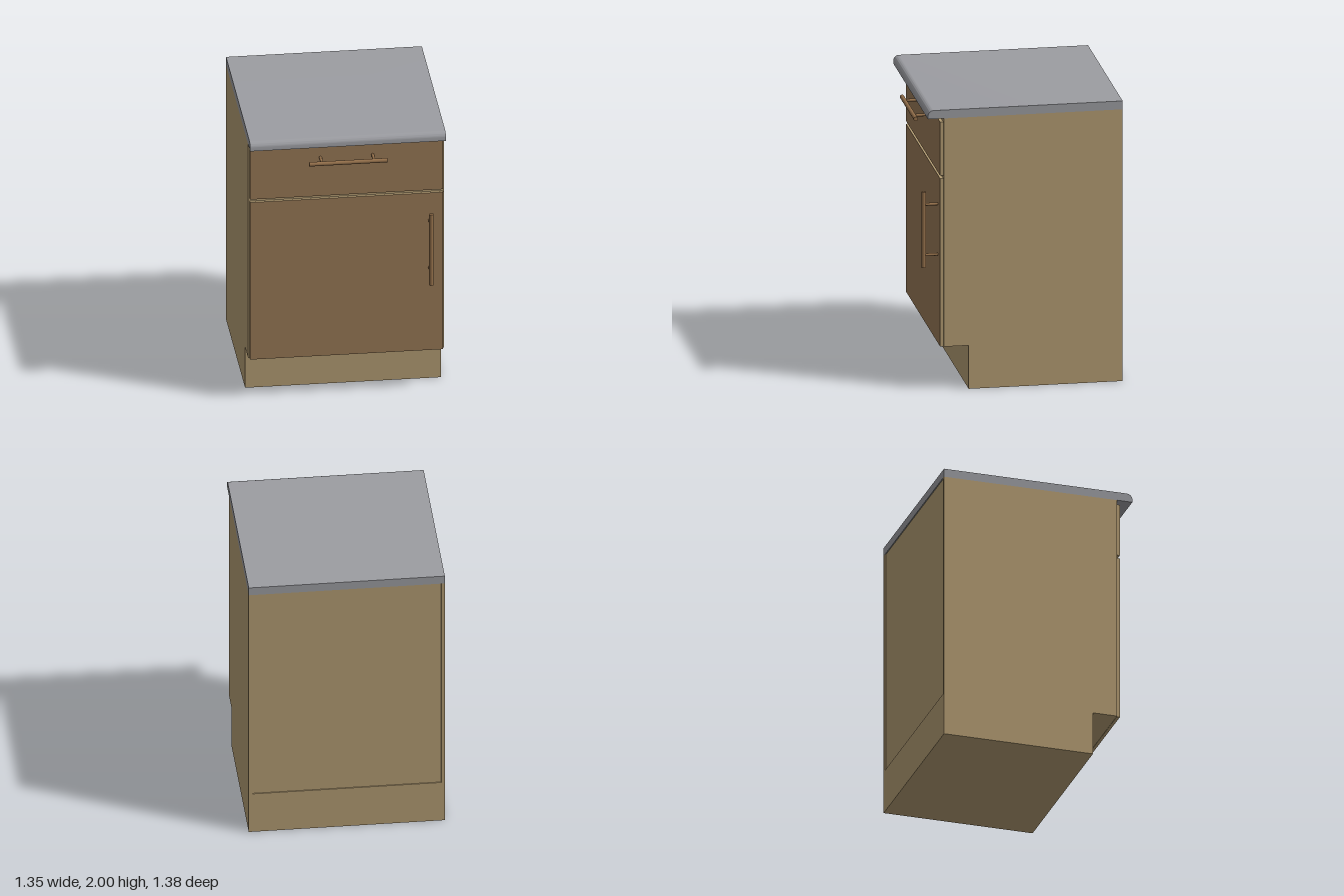
import * as THREE from 'three';
import { toCreasedNormals } from 'three/addons/utils/BufferGeometryUtils.js';

const material = (name, color) => {
  const m = new THREE.MeshStandardMaterial({ color });
  m.name = name;
  return m;
};

export function createModel() {
  const tan = material('tan board', 0xb39c73);
  const brown = material('brown front', 0x987956);
  const grey = material('grey worktop', 0x9c9da2);
  const bronze = material('bronze handle', 0x94704b);

  const model = new THREE.Group();
  model.name = 'baseCabinet';

  // Box given by its low and high corners
  const box = (name, mat, [x0, y0, z0], [x1, y1, z1], parent = model) => {
    const mesh = new THREE.Mesh(new THREE.BoxGeometry(x1 - x0, y1 - y0, z1 - z0), mat);
    mesh.position.set((x0 + x1) / 2, (y0 + y1) / 2, (z0 + z1) / 2);
    mesh.name = name;
    parent.add(mesh);
    return mesh;
  };

  const W = 0.675, BACK = -0.69, FRONT = 0.553, BOTTOM = 0.31, TOP = 1.94, T = 0.025;

  // Plinth, set back at the front
  box('plinth', tan, [-W, 0, BACK], [W, BOTTOM, 0.38]);

  // Carcass: side boards with the body and back panel slightly inset between them
  for (const s of [-1, 1]) {
    const a = s * W, b = s * (W - T);
    box(s > 0 ? 'leftSide' : 'rightSide', tan,
      [Math.min(a, b), BOTTOM, BACK], [Math.max(a, b), TOP, FRONT]);
  }
  box('carcassBody', tan, [-W + T, BOTTOM, BACK + 0.007], [W - T, TOP, FRONT]);

  // Fronts: brown face with tan edges
  const frontMaterials = [tan, tan, tan, tan, brown, tan];
  const F = 0.665, FACE = 0.577;
  box('drawerFront', frontMaterials, [-F, 1.53, FRONT + 0.002], [F, 1.912, FACE]);
  box('door', frontMaterials, [-F, BOTTOM, FRONT + 0.002], [F, 1.508, FACE]);

  // Worktop with a rounded upper front edge, profile drawn as (z, y)
  const R = 0.04, EDGE = 0.663;
  const profile = new THREE.Shape();
  profile.moveTo(BACK, TOP);
  profile.lineTo(EDGE, TOP);
  profile.lineTo(EDGE, 2 - R);
  profile.absarc(EDGE - R, 2 - R, R, 0, Math.PI / 2, false);
  profile.lineTo(BACK, 2);
  profile.closePath();
  let slab = new THREE.ExtrudeGeometry(profile, { depth: 2 * W, bevelEnabled: false, curveSegments: 12 });
  slab.rotateY(-Math.PI / 2).translate(W, 0, 0);
  slab = toCreasedNormals(slab, 0.5);
  const worktop = new THREE.Mesh(slab, grey);
  worktop.name = 'worktop';
  model.add(worktop);

  // Bar handle along x: a round bar on two posts
  const BAR_Z = 0.675;
  const handle = (name) => {
    const group = new THREE.Group();
    group.name = name;
    const bar = new THREE.Mesh(new THREE.CylinderGeometry(0.015, 0.015, 0.54, 24), bronze);
    bar.rotation.z = Math.PI / 2;
    bar.name = 'handleBar';
    group.add(bar);
    const length = BAR_Z - FACE + 0.005;
    for (const x of [-0.18, 0.18]) {
      const post = new THREE.Mesh(new THREE.CylinderGeometry(0.01, 0.01, length, 20), bronze);
      post.rotation.x = Math.PI / 2;
      post.position.set(x, 0, -length / 2);
      post.name = 'handlePost';
      group.add(post);
    }
    model.add(group);
    return group;
  };
  handle('drawerHandle').position.set(0, 1.823, BAR_Z);
  const doorHandle = handle('doorHandle');
  doorHandle.position.set(0.573, 1.122, BAR_Z);
  doorHandle.rotation.z = Math.PI / 2;

  return model;
}
